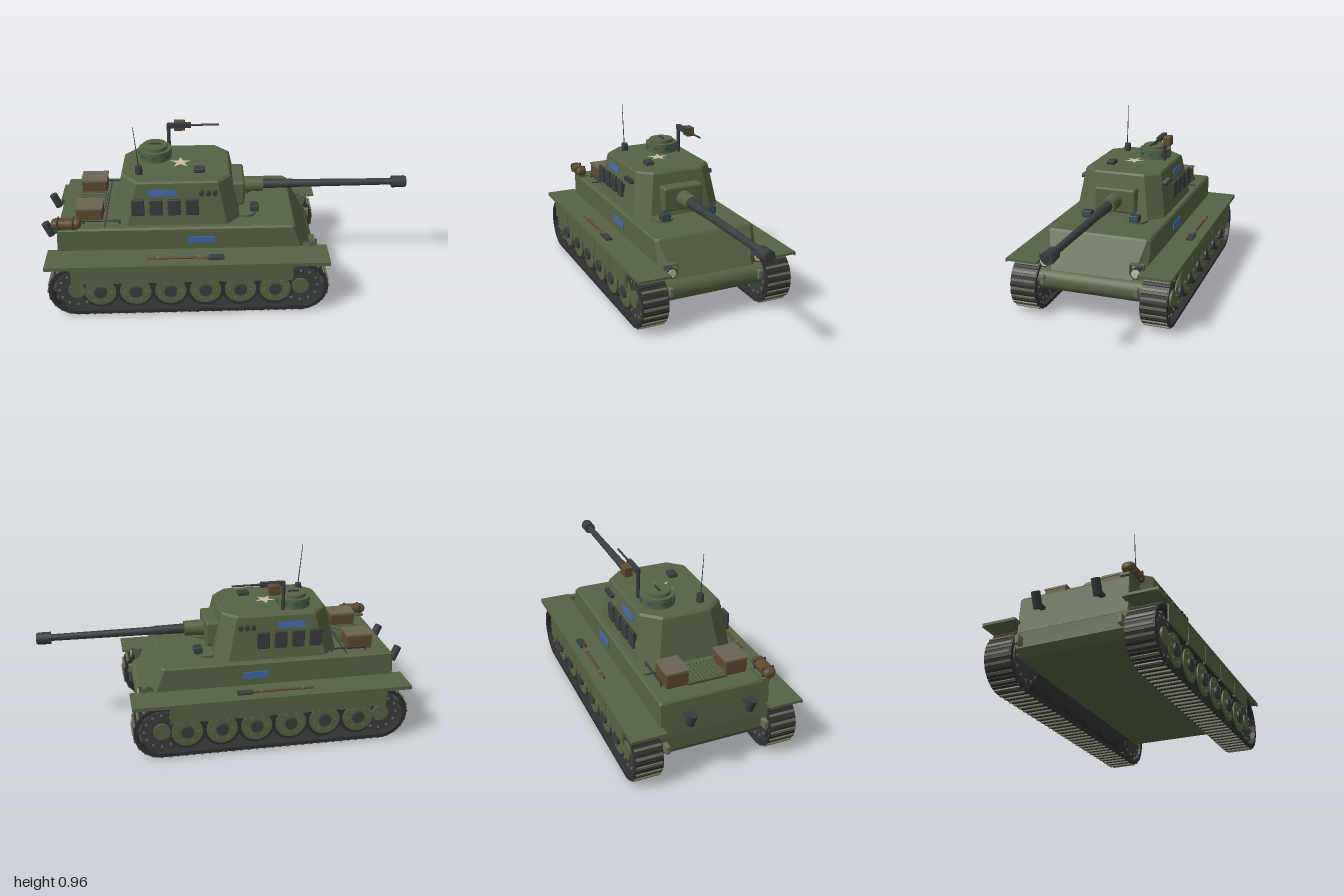
import * as THREE from 'three';
import { RoundedBoxGeometry } from 'three/addons/geometries/RoundedBoxGeometry.js';

const OLIVE = 0x566343, DARK = 0x3a3d3f, TRACK = 0x2f3032, BROWN = 0x5e4a30, CANVAS = 0x6b6552,
  BLUE = 0x4068aa, GLASS = 0x245a68, CREAM = 0xc8c0a0, STEEL = 0x6c6c58;
const mats = {};
const mat = c => (mats[c] ??= new THREE.MeshStandardMaterial({ color: c }));

export function createModel() {
  const root = new THREE.Group();
  root.name = 'tank';
  let target = root;

  const add = (name, geo, color, x = 0, y = 0, z = 0) => {
    const m = new THREE.Mesh(geo, mat(color));
    m.name = name;
    m.position.set(x, y, z);
    target.add(m);
    return m;
  };
  const group = (name, build) => {
    const outer = target, g = new THREE.Group();
    g.name = name;
    outer.add(g);
    target = g;
    build();
    target = outer;
  };
  // box given by its centre and size
  const box = (name, c, x, y, z, w, h, d) => add(name, new THREE.BoxGeometry(w, h, d), c, x, y, z);
  const soft = (name, c, x, y, z, w, h, d, r) => add(name, new RoundedBoxGeometry(w, h, d, 2, r), c, x, y, z);
  // cylinder along an axis; r1 is the radius at the positive end
  const cyl = (name, c, axis, x, y, z, len, r0, r1 = r0, seg = 24) => {
    const g = new THREE.CylinderGeometry(r1, r0, len, seg);
    if (axis === 'x') g.rotateZ(-Math.PI / 2);
    if (axis === 'z') g.rotateX(Math.PI / 2);
    return add(name, g, c, x, y, z);
  };
  // solid between outlines [x, z], counterclockwise from above
  const loft = (name, c, layers) => {
    const v = [], n = layers[0].pts.length;
    const put = (l, i) => v.push(l.pts[i % n][0], l.y, l.pts[i % n][1]);
    for (let k = 0; k + 1 < layers.length; k++) for (let i = 0; i < n; i++) {
      const a = layers[k], b = layers[k + 1];
      put(a, i); put(a, i + 1); put(b, i + 1);
      put(a, i); put(b, i + 1); put(b, i);
    }
    const lo = layers[0], hi = layers[layers.length - 1];
    for (let i = 1; i < n - 1; i++) {
      put(hi, 0); put(hi, i); put(hi, i + 1);
      put(lo, 0); put(lo, i + 1); put(lo, i);
    }
    const g = new THREE.BufferGeometry();
    g.setAttribute('position', new THREE.Float32BufferAttribute(v, 3));
    g.computeVertexNormals();
    return add(name, g, c);
  };
  // eight-sided outline: back xb, front xf, half width w, corner cuts
  const octagon = (xb, xf, w, bx, bz, fx, fz) => {
    const side = [[xb, w - bz], [xb + bx, w], [xf - fx, w], [xf, w - fz]];
    return [...side, ...side.map(([x, z]) => [x, -z]).reverse()];
  };

  group('hull', () => {
    // lower tub with rounded nose
    const s = new THREE.Shape();
    s.moveTo(-0.88, 0.14);
    s.lineTo(0.43, 0.14);
    s.absarc(0.43, 0.2, 0.06, -Math.PI / 2, Math.PI / 2, false);
    s.lineTo(-0.91, 0.26);
    s.lineTo(-0.91, 0.18);
    const g = new THREE.ExtrudeGeometry(s, { depth: 0.572, bevelEnabled: false, curveSegments: 16 });
    add('lowerHull', g, OLIVE, 0, 0, -0.286);
    loft('upperHull', OLIVE, [
      { y: 0.26, pts: octagon(-0.912, 0.464, 0.287, 0.004, 0.004, 0.05, 0.065) },
      { y: 0.44, pts: octagon(-0.9, 0.364, 0.287, 0.004, 0.004, 0.015, 0.018) },
      { y: 0.45, pts: octagon(-0.893, 0.355, 0.278, 0.004, 0.004, 0.015, 0.018) }]);
    // engine deck
    box('deckPlate', DARK, -0.735, 0.452, 0, 0.15, 0.008, 0.2);
    for (let i = 0; i < 11; i++) box('grilleSlat', OLIVE, -0.735, 0.459, -0.095 + i * 0.019, 0.15, 0.012, 0.011);
    box('deckSeam', DARK, -0.65, 0.452, 0, 0.006, 0.006, 0.52);
    for (const k of [1, -1]) {
      soft('stowageBox', BROWN, -0.735, 0.488, k * 0.155, 0.14, 0.076, 0.115, 0.006);
      box('boxLid', CANVAS, -0.735, 0.53, k * 0.155, 0.145, 0.01, 0.12);
      cyl('deckRail', DARK, 'x', -0.67, 0.468, k * 0.225, 0.2, 0.006, 0.006, 8);
      for (const x of [-0.765, -0.575]) cyl('railPost', DARK, 'y', x, 0.458, k * 0.225, 0.022, 0.005, 0.005, 8);
      // crew hatches with periscopes
      cyl('crewHatch', OLIVE, 'y', 0.1, 0.455, k * 0.13, 0.014, 0.06);
      soft('periscope', DARK, 0.15, 0.483, k * 0.135, 0.045, 0.036, 0.055, 0.006);
      box('periscopeGlass', GLASS, 0.172, 0.483, k * 0.135, 0.004, 0.02, 0.038);
      box('hullPanel', BLUE, -0.14, 0.378, k * 0.289, 0.14, 0.038, 0.006);
      // headlights and guards
      cyl('headlight', DARK, 'x', 0.442, 0.308, k * 0.25, 0.085, 0.022, 0.029);
      cyl('headlightLens', CREAM, 'x', 0.486, 0.308, k * 0.25, 0.006, 0.024, 0.022);
      box('guardTop', OLIVE, 0.455, 0.347, k * 0.25, 0.03, 0.006, 0.075);
      box('guardSide', OLIVE, 0.455, 0.32, k * 0.213, 0.03, 0.055, 0.005);
      box('guardSide', OLIVE, 0.455, 0.325, k * 0.285, 0.03, 0.05, 0.005);
      // tow lugs and exhausts
      soft('towLug', STEEL, 0.485, 0.21, k * 0.258, 0.04, 0.05, 0.024, 0.005);
      soft('rearTowLug', STEEL, -0.925, 0.21, k * 0.262, 0.05, 0.045, 0.024, 0.005);
      cyl('exhaust', DARK, 'y', -0.967, 0.38, k * 0.155, 0.08, 0.022).rotation.z = 0.4;
      box('exhaustBracket', DARK, -0.925, 0.365, k * 0.155, 0.06, 0.015, 0.025);
    }
    // bedroll with straps
    soft('bedroll', BROWN, -0.848, 0.487, 0.28, 0.158, 0.05, 0.062, 0.022);
    for (const x of [-0.89, -0.81]) soft('bedrollStrap', DARK, x, 0.487, 0.28, 0.01, 0.053, 0.065, 0.004);
    box('bedrollShelf', OLIVE, -0.85, 0.455, 0.265, 0.12, 0.012, 0.05);
  });

  group('turret', () => {
    loft('turretShell', OLIVE, [
      { y: 0.445, pts: octagon(-0.61, 0.07, 0.256, 0.08, 0.09, 0.07, 0.075) },
      { y: 0.68, pts: octagon(-0.555, 0.022, 0.219, 0.08, 0.09, 0.07, 0.075) },
      { y: 0.69, pts: octagon(-0.545, 0.013, 0.211, 0.08, 0.09, 0.07, 0.075) }]);
    soft('mantlet', OLIVE, 0.06, 0.552, 0, 0.08, 0.138, 0.234, 0.014);
    cyl('gunCollar', OLIVE, 'x', 0.15, 0.552, 0, 0.11, 0.044, 0.04, 32);
    cyl('barrelSleeve', DARK, 'x', 0.285, 0.552, 0, 0.17, 0.027, 0.024, 32);
    cyl('barrel', DARK, 'x', 0.65, 0.551, 0, 0.56, 0.022, 0.018, 32);
    cyl('muzzleBrake', DARK, 'x', 0.957, 0.55, 0, 0.07, 0.033);
    cyl('muzzleLip', DARK, 'x', 0.995, 0.55, 0, 0.01, 0.029);
    cyl('muzzleBore', TRACK, 'x', 0.999, 0.55, 0, 0.002, 0.016);

    // commander's cupola
    const cx = -0.385, cz = -0.085;
    cyl('cupola', OLIVE, 'y', cx, 0.716, cz, 0.054, 0.09, 0.09, 32);
    cyl('cupolaHatch', OLIVE, 'y', cx, 0.752, cz, 0.02, 0.07, 0.068, 32);
    box('hatchHandle', DARK, cx, 0.766, cz, 0.06, 0.008, 0.01);
    for (let i = 0; i < 8; i++) {
      const a = i * Math.PI / 4;
      box('visionBlock', GLASS, cx + 0.087 * Math.cos(a), 0.718, cz - 0.087 * Math.sin(a), 0.01, 0.016, 0.028).rotation.y = a;
    }

    // roof machine gun
    cyl('gunPost', DARK, 'y', -0.31, 0.77, -0.16, 0.16, 0.01);
    box('gunReceiver', DARK, -0.25, 0.839, -0.16, 0.13, 0.026, 0.024);
    cyl('machineGunBarrel', DARK, 'x', -0.11, 0.84, -0.16, 0.16, 0.006, 0.005, 10);
    soft('ammoBox', BROWN, -0.25, 0.823, -0.197, 0.06, 0.052, 0.044, 0.004);

    // aerial, roof periscope and star
    cyl('aerialBase', DARK, 'y', -0.465, 0.71, 0.115, 0.045, 0.02, 0.018);
    cyl('aerial', DARK, 'y', -0.475, 0.845, 0.118, 0.232, 0.003, 0.0015, 6).rotation.z = 0.085;
    soft('roofPeriscope', DARK, -0.145, 0.7, 0.1, 0.06, 0.024, 0.045, 0.005);
    const star = new THREE.Shape(Array.from({ length: 10 }, (_, i) => {
      const r = i % 2 ? 0.023 : 0.06, a = Math.PI / 2 + i * Math.PI / 5;
      return new THREE.Vector2(r * Math.cos(a), r * Math.sin(a));
    }));
    add('roofStar', new THREE.ShapeGeometry(star).rotateX(-Math.PI / 2), CREAM, -0.245, 0.693, 0);

    // side fittings, both sides
    for (const k of [1, -1]) {
      for (let i = 0; i < 4; i++) {
        soft('spareTrackLink', DARK, -0.47 + i * 0.095, 0.562, k * 0.259, 0.068, 0.094, 0.016, 0.005);
        box('linkBracket', DARK, -0.47 + i * 0.095, 0.562, k * 0.245, 0.03, 0.04, 0.024);
      }
      box('sidePanel', BLUE, -0.345, 0.631, k * 0.228, 0.145, 0.032, 0.008).rotation.x = -k * 0.155;
      for (let i = 0; i < 3; i++) cyl('smokeTube', DARK, 'z', -0.135 + i * 0.035, 0.63, k * 0.231, 0.036, 0.013, 0.013, 16);
    }
  });

  // running gear, mirrored left and right
  for (const k of [1, -1]) group(k > 0 ? 'leftRunningGear' : 'rightRunningGear', () => {
    const zt = k * 0.358, xr = -0.804, xf = 0.384, yc = 0.155, r = 0.136;
    box('fender', OLIVE, -0.213, 0.314, k * 0.362, 1.494, 0.013, 0.176);
    box('fenderLip', OLIVE, -0.213, 0.31, k * 0.447, 1.494, 0.018, 0.006);
    const edges = [-0.83, -0.585, -0.355, -0.12, 0.11, 0.335];
    for (let i = 0; i < 5; i++) {
      box('skirtPanel', OLIVE, (edges[i] + edges[i + 1]) / 2, 0.26, k * 0.442, edges[i + 1] - edges[i] - 0.008, 0.094, 0.008);
      box('skirtBracket', OLIVE, edges[i + 1], 0.255, k * 0.438, 0.01, 0.1, 0.008);
    }

    // track links around a stadium path
    const straight = xf - xr, arc = Math.PI * r, total = 2 * (straight + arc), n = 76;
    for (let i = 0; i < n; i++) {
      let d = i * total / n, x, y, a;
      if (d < straight) { x = xr + d; y = yc - r; a = 0; }
      else if ((d -= straight) < arc) { a = d / r; x = xf + r * Math.sin(a); y = yc - r * Math.cos(a); }
      else if ((d -= arc) < straight) { x = xf - d; y = yc + r; a = Math.PI; }
      else { a = Math.PI + (d - straight) / r; x = xr + r * Math.sin(a); y = yc - r * Math.cos(a); }
      const out = 0.012, ox = Math.sin(a) * out, oy = -Math.cos(a) * out;
      box('trackLink', TRACK, x, y, zt, 0.043, 0.02, 0.145).rotation.z = a;
      box('trackGrouser', STEEL, x + ox, y + oy, zt, 0.012, 0.012, 0.135).rotation.z = a;
    }

    // six road wheels, painted on the outer face only
    for (let i = 0; i < 6; i++) {
      const x = -0.68 + i * 0.186, y = 0.142;
      cyl('tyre', TRACK, 'z', x, y, k * 0.35, 0.12, 0.102, 0.102, 32);
      cyl('wheelDisc', OLIVE, 'z', x, y, k * 0.4, 0.036, 0.083, 0.083, 32);
      cyl('wheelHub', DARK, 'z', x, y, k * 0.41, 0.04, 0.034);
      for (let j = 0; j < 6; j++) {
        const a = j * Math.PI / 3;
        cyl('wheelBolt', STEEL, 'z', x + 0.058 * Math.cos(a), y + 0.058 * Math.sin(a), k * 0.419, 0.006, 0.006, 0.006, 8);
      }
    }
    // toothed end wheels
    for (const x of [xr, xf]) {
      cyl('sprocket', DARK, 'z', x, yc, k * 0.35, 0.12, 0.11, 0.11, 32);
      cyl('sprocketHub', OLIVE, 'z', x, yc, k * 0.4, 0.044, 0.045);
      for (let j = 0; j < 12; j++) {
        const a = j * Math.PI / 6, c = Math.cos(a), s = Math.sin(a);
        for (const z of [0.291, 0.41])
          cyl('sprocketBolt', STEEL, 'z', x + 0.092 * c, yc + 0.092 * s, k * z, 0.008, 0.007, 0.007, 8);
        box('tooth', DARK, x + 0.115 * c, yc + 0.115 * s, k * 0.357, 0.025, 0.02, 0.1).rotation.z = a;
      }
    }

    // shovel on the fender
    cyl('shovelShaft', BROWN, 'x', -0.26, 0.333, k * 0.393, 0.34, 0.007, 0.007, 10);
    box('shovelBlade', DARK, -0.063, 0.333, k * 0.393, 0.085, 0.012, 0.036);
    for (const x of [-0.37, -0.15]) box('toolClip', STEEL, x, 0.33, k * 0.393, 0.012, 0.022, 0.02);
  });

  return root;
}
